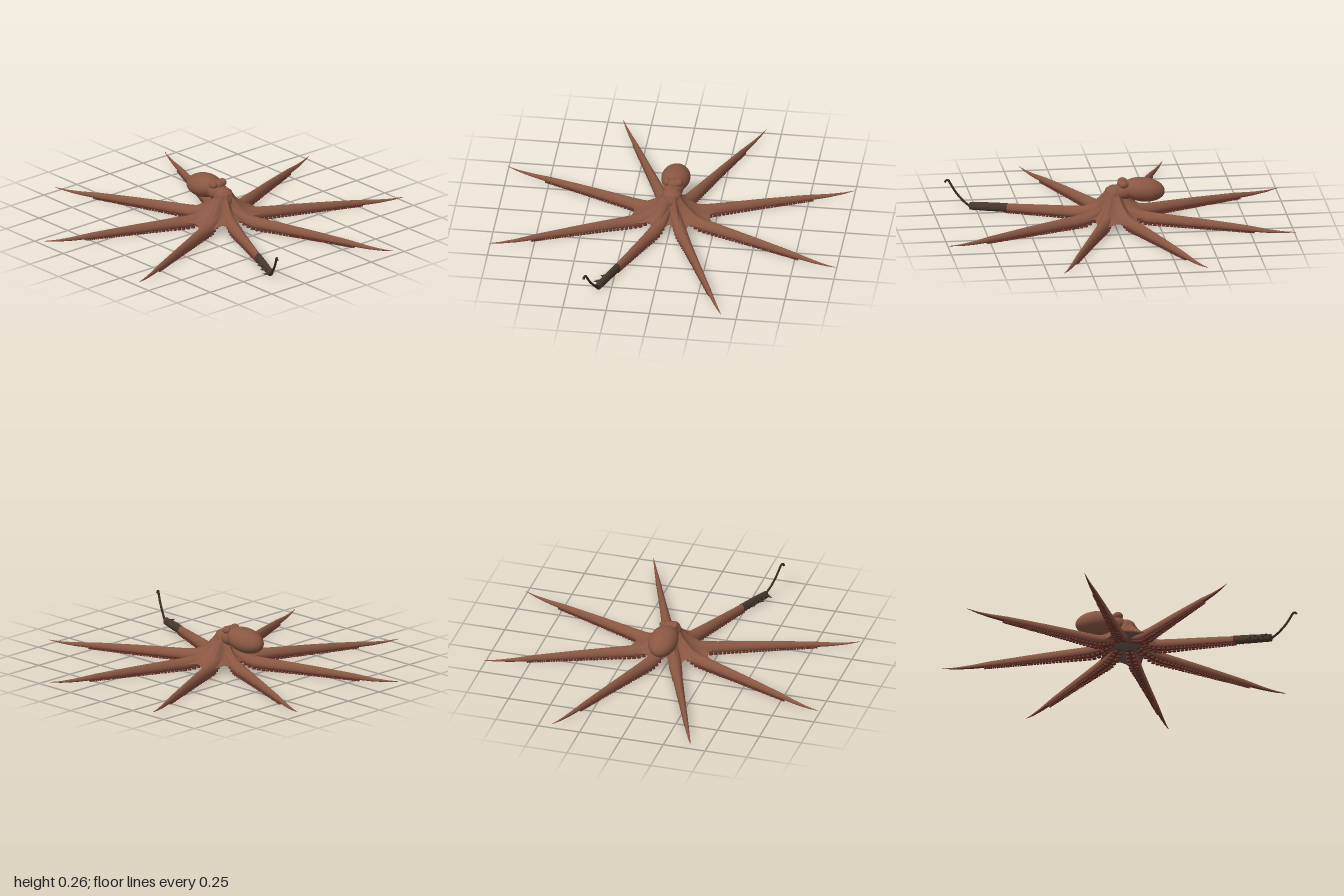
import * as THREE from 'three';
import { mergeGeometries } from 'three/addons/utils/BufferGeometryUtils.js';

const material = (name, color, side = THREE.FrontSide) =>
  Object.assign(new THREE.MeshStandardMaterial({ color, side }), { name });

function add(parent, name, geometry, mat) {
  const mesh = new THREE.Mesh(geometry, mat);
  mesh.name = name;
  parent.add(mesh);
  return mesh;
}

// Smooth skin through closed rings of [x, y, z] points.
// Faces picked by isUnder(ring, column) go to the second material.
function loft(rings, isUnder = () => false) {
  const n = rings[0].length, upper = [], under = [];
  for (let i = 0; i < rings.length - 1; i++) {
    for (let j = 0; j < n; j++) {
      const k = (j + 1) % n, a = i * n + j, b = i * n + k;
      (isUnder(i, j) ? under : upper).push(a, b, a + n, b, b + n, a + n);
    }
  }
  const g = new THREE.BufferGeometry();
  g.setAttribute('position', new THREE.Float32BufferAttribute(rings.flat(2), 3));
  g.setIndex([...upper, ...under]);
  g.addGroup(0, upper.length, 0);
  g.addGroup(upper.length, under.length, 1);
  g.computeVertexNormals();
  return g;
}

// Arm stations: distance from centre, bottom, top, half width.
const STATIONS = [
  [0.02, 0.09, 0.155, 0.022], [0.06, 0.07, 0.134, 0.026], [0.1, 0.047, 0.107, 0.031],
  [0.15, 0.022, 0.086, 0.036], [0.2, 0.009, 0.077, 0.037], [0.26, 0.008, 0.073, 0.033],
  [0.34, 0.008, 0.07, 0.028], [0.55, 0.008, 0.06, 0.02], [0.8, 0.008, 0.044, 0.0135],
  [0.92, 0.009, 0.031, 0.009], [1.01, 0.015, 0.026, 0.005], [1.082, 0.026, 0.028, 0.0005],
];

function station(r) {
  let i = 0;
  while (i < STATIONS.length - 2 && r > STATIONS[i + 1][0]) i++;
  const a = STATIONS[i], b = STATIONS[i + 1];
  const t = (r - a[0]) / (b[0] - a[0]);
  const [, bottom, top, half] = a.map((v, k) => THREE.MathUtils.lerp(v, b[k], t));
  return { bottom, top, half };
}

// Egg-shaped cross-section, wider low down, at distance r along +z.
function armRing(r, grow = 1, n = 16) {
  const { bottom, top, half } = station(r);
  return Array.from({ length: n }, (_, j) => {
    const a = (j / n) * Math.PI * 2, s = Math.sin(a);
    return [Math.cos(a) * half * grow * (1 - 0.18 * s),
      (bottom + top) / 2 + s * grow * (top - bottom) / 2, r];
  });
}

// Arm skin, with the lowest columns as the underside.
function armGeometry(end) {
  const rings = [];
  for (let i = 0; i <= 48; i++) rings.push(armRing(THREE.MathUtils.lerp(0.02, end, i / 48)));
  return loft(rings, (i, j) => j >= 10 && j <= 13);
}

// Two rows of cups shrinking towards the tip.
function suckerGeometry(end) {
  const cups = [];
  for (let r = 0.09; r < end;) {
    const { bottom, half } = station(r), size = half * 0.34 + 0.001;
    for (const side of [-1, 1]) {
      cups.push(new THREE.CylinderGeometry(size * 0.75, size, 0.014, 8)
        .translate(side * half * 0.5, bottom + 0.001, r));
    }
    r += size * 2.1;
  }
  return mergeGeometries(cups);
}

// Web skirt between the arms, with a scalloped edge and a ridge over every arm.
function webGeometry() {
  const n = 96, rings = [];
  const ring = (fn) => rings.push(Array.from({ length: n }, (_, j) => {
    const a = (j / n) * Math.PI * 2;
    const sector = Math.PI / 4;
    const u = Math.abs(a / sector - Math.round(a / sector)) * 2;
    const notch = 0.172 - 0.047 * Math.cos(2 * a);
    const edge = notch + (0.31 - notch) * u ** 2.2;
    const [r, y] = fn(edge, u);
    return [Math.sin(a) * r, y, Math.cos(a) * r];
  }));
  const edgeY = (u) => THREE.MathUtils.lerp(0.056, 0.038, u);
  ring(() => [0.001, 0.068]);
  ring((e) => [e * 0.5, 0.063]);
  ring((e, u) => [e * 0.97, edgeY(u) - 0.004]);
  for (let i = 14; i >= 0; i--) {
    const k = i / 14;
    ring((e, u) => [
      THREE.MathUtils.lerp(0.045, e, k ** 1.4),
      THREE.MathUtils.lerp(0.2, edgeY(u), 1 - (1 - k) ** 1.65) + 0.016 * (u - 0.5) * Math.sin(k * Math.PI),
    ]);
  }
  ring(() => [0.001, 0.21]);
  return loft(rings, (i) => i < 2);
}

function ellipsoid(parent, name, mat, position, scale, tilt = 0) {
  const mesh = add(parent, name, new THREE.SphereGeometry(1, 32, 20), mat);
  mesh.position.set(...position);
  mesh.scale.set(...scale);
  mesh.rotation.x = tilt;
}

export function createModel() {
  const model = new THREE.Group();
  model.name = 'octopus';
  const skin = material('skin', 0x8a5743);
  const cup = material('suckers', 0x6a352b);
  const membrane = material('membrane', 0x6f564d);
  const metal = material('dark metal', 0x46372b, THREE.DoubleSide);
  const hookMetal = material('hook metal', 0x382c23);

  // Body
  add(model, 'web', webGeometry(), [skin, membrane]);
  ellipsoid(model, 'head', skin, [0, 0.168, -0.005], [0.056, 0.052, 0.056]);
  ellipsoid(model, 'neck', skin, [0, 0.183, -0.06], [0.058, 0.05, 0.06]);
  ellipsoid(model, 'mantle', skin, [0, 0.187, -0.172], [0.083, 0.069, 0.125], -0.14);
  ellipsoid(model, 'brow', skin, [0, 0.223, -0.055], [0.045, 0.026, 0.034]);
  ellipsoid(model, 'siphon', skin, [0, 0.15, 0.033], [0.03, 0.035, 0.026]);
  for (const side of [-1, 1]) {
    ellipsoid(model, side > 0 ? 'leftEye' : 'rightEye', skin,
      [side * 0.034, 0.23, -0.055], [0.022, 0.022, 0.028]);
  }

  // Arms: the front right one is cut short to carry the metal sleeve
  const cut = 0.64;
  let cutArm;
  for (let i = 0; i < 8; i++) {
    const arm = new THREE.Group();
    arm.name = `arm${i + 1}`;
    arm.rotation.y = (i - 0.5) * Math.PI / 4;
    add(arm, 'armSkin', armGeometry(i === 0 ? cut : 1.082), [skin, cup]);
    add(arm, 'armSuckers', suckerGeometry(i === 0 ? cut : 0.84), cup);
    model.add(arm);
    if (i === 0) cutArm = arm;
  }

  // Sleeve with a closed end
  const sleeve = [armRing(cut - 0.012, 1.12), armRing(0.75, 1.3), armRing(0.85, 1.5)];
  sleeve.push(sleeve[2].map(() => [0, 0.026, 0.862]));
  add(cutArm, 'sleeve', loft(sleeve), metal);

  // Barbs along the outer side and underside of the sleeve
  const barbs = [];
  for (let i = 0; i < 7; i++) {
    const length = 0.02 + 0.003 * i;
    barbs.push(new THREE.ConeGeometry(0.009, length, 5)
      .rotateZ(Math.PI / 2).rotateY(i % 2 ? 0.35 : -0.2)
      .translate(-0.02 - length * 0.3, 0.018 + 0.008 * (i % 3), 0.71 + 0.023 * i));
  }
  for (const side of [-1, 1]) {
    for (let i = 0; i < 8; i++) {
      barbs.push(new THREE.ConeGeometry(0.006, 0.014, 5).rotateX(Math.PI)
        .translate(side * 0.01, 0.008, 0.66 + 0.026 * i));
    }
  }
  add(cutArm, 'barbs', mergeGeometries(barbs), metal);

  // Raised hook at the end of the sleeve
  const path = new THREE.CatmullRomCurve3([
    [-0.32, 0.025, 0.79], [-0.338, 0.05, 0.822], [-0.36, 0.1, 0.865], [-0.374, 0.145, 0.892],
    [-0.381, 0.163, 0.903], [-0.387, 0.163, 0.914], [-0.391, 0.15, 0.922],
  ].map((p) => new THREE.Vector3(...p)));
  add(model, 'hook', new THREE.TubeGeometry(path, 28, 0.0065, 8), hookMetal);

  return model;
}
